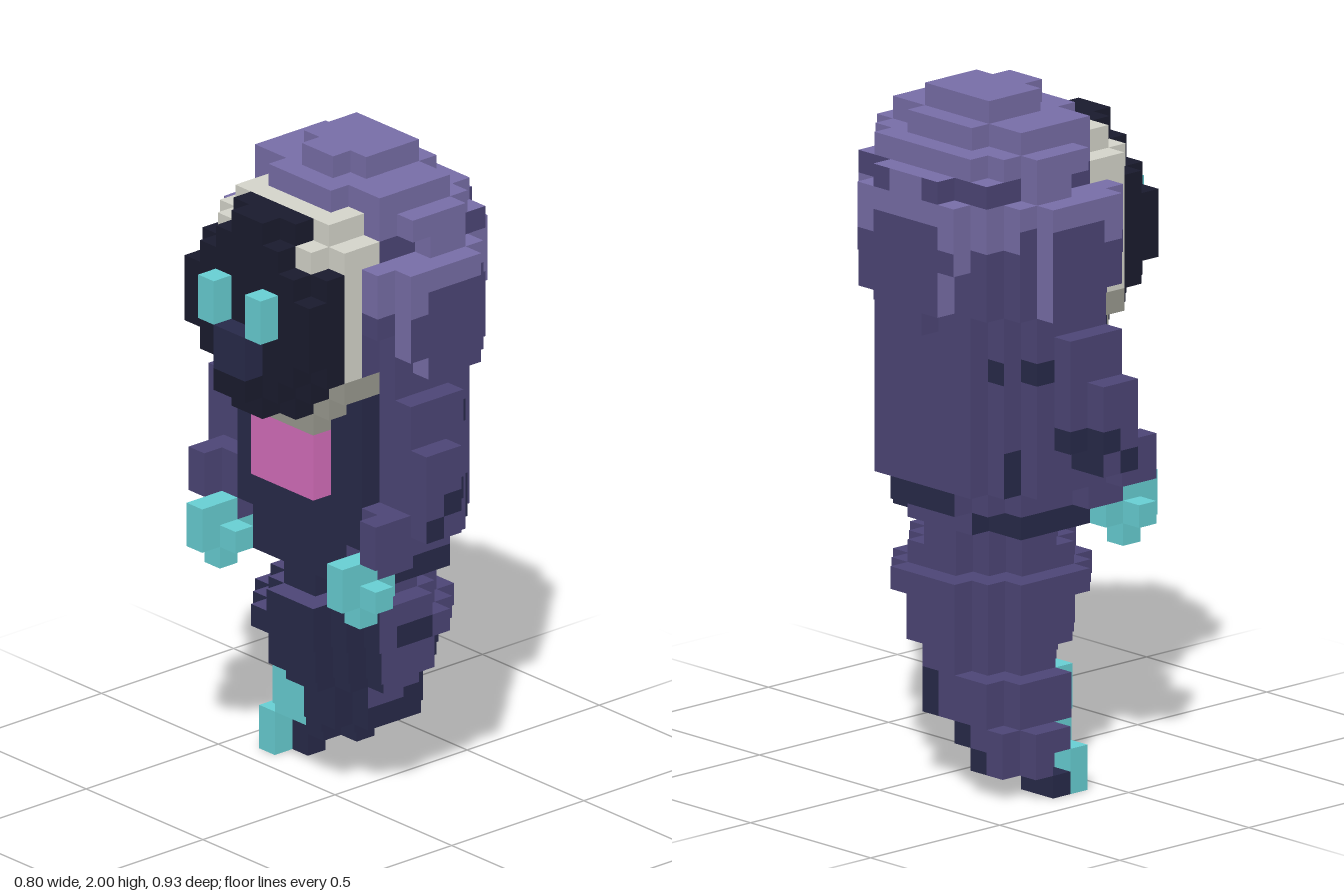
import * as THREE from 'three';

const U = 1 / 15; // size of one cube

const COLOURS = {
  lilac: 0x786ea8, purple: 0x4d4677, navy: 0x282a4a, black: 0x1a1b2e,
  bone: 0xd6d6cc, stone: 0x9a9a90, teal: 0x68d0d4, pink: 0xd66ebc,
};

// Body layers from the ground up, in cubes: x0, x1, z0, z1
const LAYERS = [
  [2, 3, -6, -4], [2, 5, -6, -2], [1, 5, -6, -1], [0, 5, -5, 1], [0, 5, -5, 1],
  [-1, 5, -4, 2], [-2, 5, -4, 3], [-2, 5, -4, 3], [-3, 5, -4, 4], [-3, 4, -3, 4],
  [-2, 4, -3, 3], [-2, 4, -4, 4], [-2, 5, -4, 4],
  ...Array(7).fill([-2, 5, -5, 5]),
  [-2, 6, -5, 5], ...Array(5).fill([-2, 6, -6, 6]), [-2, 6, -5, 5],
  [-2, 5, -5, 5], [-2, 4, -4, 4], [0, 3, -2, 2],
];

const SIDES = [
  [1, 0, 0], [-1, 0, 0], [0, 1, 0], [0, -1, 0], [0, 0, 1], [0, 0, -1],
];

export function createModel() {
  const cells = new Map();
  const key = (x, y, z) => `${x},${y},${z}`;
  const put = (part, x, y, z, colour) => cells.set(key(x, y, z), { part, x, y, z, colour });

  const box = (part, colour, x0, x1, y0, y1, z0, z1) => {
    for (let x = x0; x < x1; x++)
      for (let y = y0; y < y1; y++)
        for (let z = z0; z < z1; z++) put(part, x, y, z, colour);
  };
  // Same box on both sides of the body
  const pair = (part, colour, x0, x1, y0, y1, z0, z1) => {
    box(part, colour, x0, x1, y0, y1, z0, z1);
    box(part, colour, x0, x1, y0, y1, -z1, -z0);
  };

  // Paint rules: pale crown, dark hems and dark underside of the tail
  const headPaint = (c, n) => {
    // distance from the middle of the side that this face looks out of
    const off = n[0] ? Math.abs(c.z + 0.5) : Math.abs(c.x - 1.5);
    if (n[1] > 0 || c.y >= 27) return 'lilac';
    if (n[1] < 0 || c.y < 21) return 'purple';
    if (c.y === 26) return off > 1 && off < 4 ? 'purple' : 'lilac';
    if (n[0] ? off > 5 : c.x >= 5) return 'lilac';
    return c.y === 25 || (c.y === 24 && off > 1.6) ? 'lilac' : 'purple';
  };
  const cloakPaint = (c, n) => {
    const off = Math.abs(c.z + 0.5);
    if (n[1] < 0 || n[0] < 0) return 'navy';
    if (n[0] > 0) {
      if (c.y === 11) return off > 2 ? 'navy' : 'purple';
      if (c.y === 12) return off < 2 ? 'navy' : 'purple';
      return c.y === 18 && off > 3 ? 'navy' : 'purple';
    }
    if (n[2]) {
      if (c.y === 11 || (c.x < -1 && c.y > 14)) return 'navy';
      if ((c.x === 3 && (c.y === 13 || c.y === 14)) || (c.x === 2 && c.y === 18)) return 'navy';
    }
    return 'purple';
  };
  const tailPaint = (c, n) => {
    const [x0, , , z1] = LAYERS[c.y];
    if (n[1] < 0 || n[0] < 0 || c.y === 0) return 'navy';
    if (n[2] > 0) {
      if (c.y === 4 && (c.x === 1 || c.x === 2)) return 'purple';
      if (c.y < 5 || c.x - x0 < 2) return 'navy';
      if (c.y === 8 && (c.x === 0 || c.x === 1)) return 'navy';
      if ((c.y === 6 || c.y === 7) && c.x >= 3) return 'navy';
    }
    if (n[0] > 0 && c.y < 7 && z1 - c.z <= 2) return 'navy';
    return 'purple';
  };
  const armPaint = (c, n) => {
    if (n[1] < 0) return 'navy';
    if (n[0] > 0 && (c.y === 14 || c.y === 15)) return 'navy';
    if (n[2] && ((c.y === 15 && c.x >= 0) || (c.y === 14 && c.x === -1))) return 'navy';
    return 'purple';
  };

  // How full the outline of a layer is: the head draws in towards the neck
  const fullness = (y) => {
    if (y < 11) return 0.9;
    return y < 20 || y > 26 ? 1.02 : Math.min(0.917, 0.82 + 0.033 * (y - 20));
  };

  // Head, cloak and tail: rounded layers, flatter towards the face
  LAYERS.forEach(([x0, x1, z0, z1], y) => {
    const [part, paint] = y >= 20 ? ['head', headPaint]
      : y >= 11 ? ['cloak', cloakPaint] : ['tail', tailPaint];
    const cx = (x0 + x1) / 2, cz = (z0 + z1) / 2;
    for (let x = x0; x < x1; x++)
      for (let z = z0; z < z1; z++) {
        const dx = (x + 0.5 - cx) / (x1 - cx), dz = (z + 0.5 - cz) / (z1 - cz);
        const p = y >= 11 && y < 26 && dx < 0 ? 4 : 2.1;
        if (Math.abs(dx) ** p + Math.abs(dz) ** p <= fullness(y)) put(part, x, y, z, paint);
      }
  });
  box('head', headPaint, -1, 0, 29, 30, -1, 1);

  // Arms stepping down and forward, with hanging fingers
  pair('arms', armPaint, -1, 2, 15, 20, 4, 6);
  pair('arms', armPaint, -1, 1, 14, 18, 5, 7);
  pair('arms', armPaint, -2, 1, 14, 15, 4, 6);
  pair('arms', armPaint, -2, 0, 12, 14, 4, 5);
  pair('arms', armPaint, -3, -1, 13, 15, 5, 6);
  pair('hands', 'teal', -4, -2, 11, 13, 4, 5);
  pair('hands', 'teal', -2, -1, 11, 12, 4, 5);
  pair('hands', 'teal', -3, -2, 11, 12, 3, 6);
  pair('hands', 'teal', -3, -2, 10, 11, 4, 5);

  // Face plate of two steps and the rim behind it
  for (let y = 19; y < 28; y++)
    for (let z = -4; z < 4; z++) {
      const a = Math.abs(y + 0.5 - 23.5) / 4.5, b = Math.abs(z + 0.5) / 4;
      const bone = y >= 21 ? 'bone' : 'stone';
      const inRim = a ** 3 + b ** 3 <= 1.1;
      if (inRim) put('rim', -3, y, z, bone);
      if (inRim && (y >= 26 || y <= 20) && b > 0.5) put('rim', -2, y, z, bone);
      if (a ** 2.2 + b ** 2.2 <= 1) put('facePlate', -4, y, z, 'black');
      if (a + b <= 1.21) put('facePlate', -5, y, z, 'black');
    }
  pair('rim', 'bone', -4, -3, 26, 27, 2, 3);
  box('rim', 'stone', -3, -2, 18, 19, -2, 2);

  // Eyes, snout and chest tab
  pair('eyes', 'teal', -6, -5, 23, 25, 1, 2);
  box('snout', 'navy', -6, -5, 21, 23, -1, 1);
  box('snout', 'black', -6, -5, 20, 21, -1, 1);
  box('chestTab', 'pink', -3, -1, 15, 18, -2, 2);

  // Stepped ridge along the underside of the tail
  box('tailRidge', 'teal', 1, 2, 0, 2, -6, -5);
  box('tailRidge', 'teal', 1, 2, 2, 3, -5, -3);
  box('tailRidge', 'teal', 0, 1, 3, 5, -4, -2);

  // Collect the exposed faces of every part by colour
  const parts = {};
  for (const c of cells.values()) {
    for (const n of SIDES) {
      if (cells.has(key(c.x + n[0], c.y + n[1], c.z + n[2]))) continue;
      const colour = typeof c.colour === 'function' ? c.colour(c, n) : c.colour;
      const list = ((parts[c.part] ??= {})[colour] ??= []);
      const normal = new THREE.Vector3(...n);
      const u = new THREE.Vector3(n[1], n[2], n[0]);
      const v = normal.clone().cross(u);
      const mid = new THREE.Vector3(c.x + 0.5, c.y + 0.5, c.z + 0.5).addScaledVector(normal, 0.5);
      const q = [[-1, -1], [1, -1], [1, 1], [-1, 1]].map(([s, t]) =>
        mid.clone().addScaledVector(u, s / 2).addScaledVector(v, t / 2).multiplyScalar(U));
      for (const i of [0, 1, 2, 0, 2, 3]) list.push({ p: q[i], n: normal });
    }
  }

  const materials = {};
  for (const [name, color] of Object.entries(COLOURS)) {
    materials[name] = new THREE.MeshStandardMaterial({ color });
    materials[name].name = name;
  }

  // One mesh per part, with a geometry group for each colour
  const model = new THREE.Group();
  model.name = 'hoodedSpirit';
  for (const [name, byColour] of Object.entries(parts)) {
    const geometry = new THREE.BufferGeometry();
    const used = Object.keys(byColour);
    let start = 0;
    used.forEach((colour, i) => {
      geometry.addGroup(start, byColour[colour].length, i);
      start += byColour[colour].length;
    });
    const verts = used.flatMap((colour) => byColour[colour]);
    const attribute = (get) =>
      new THREE.Float32BufferAttribute(verts.flatMap((w) => get(w).toArray()), 3);
    geometry.setAttribute('position', attribute((w) => w.p));
    geometry.setAttribute('normal', attribute((w) => w.n));
    const mesh = new THREE.Mesh(geometry, used.map((colour) => materials[colour]));
    mesh.name = name;
    model.add(mesh);
  }
  return model;
}
